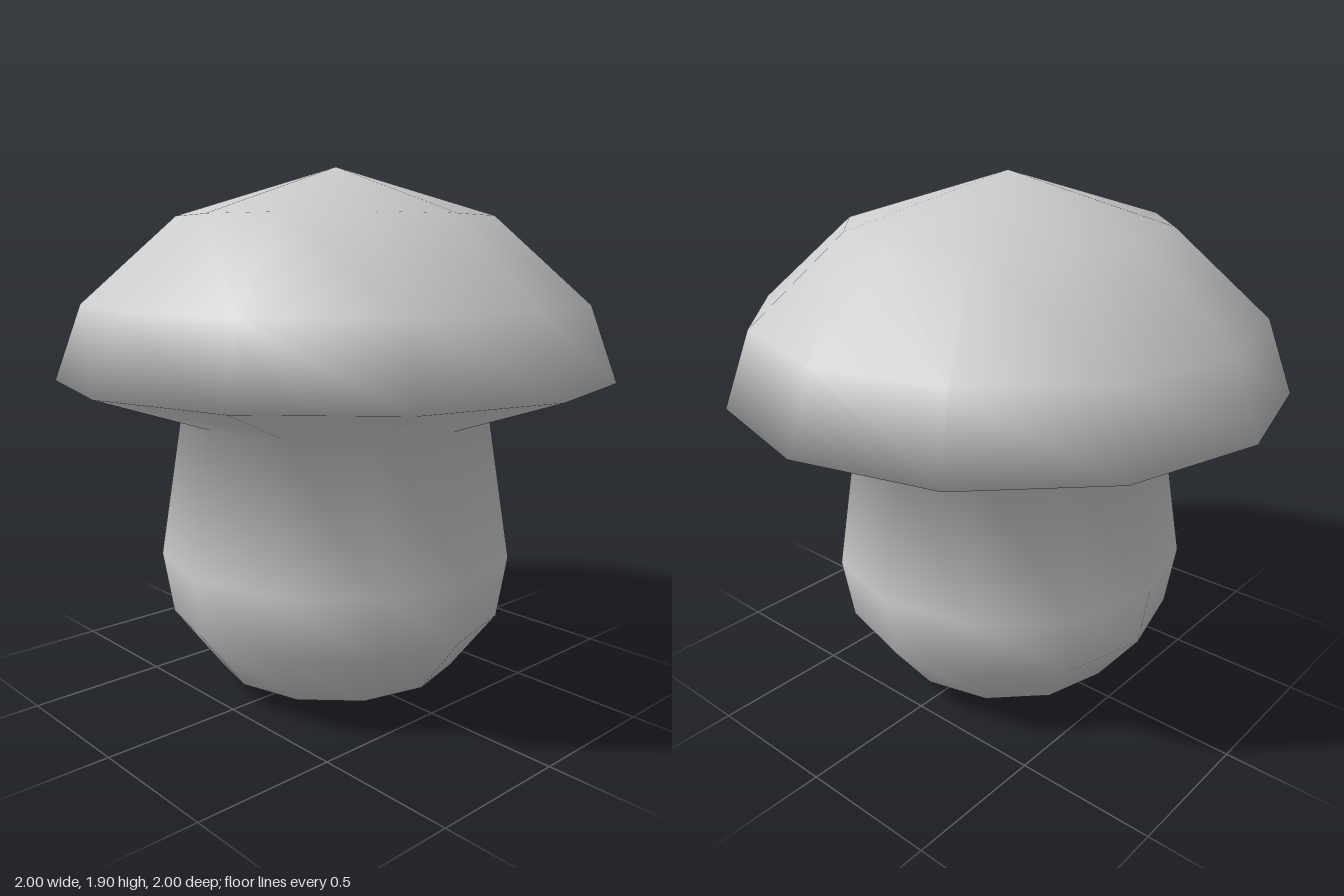
import * as THREE from 'three';
import { mergeVertices } from 'three/addons/utils/BufferGeometryUtils.js';

// Smooth twelve-sided solid of revolution, welded at the seam and poles
function smoothLathe(profile, sides) {
  const lathe = new THREE.LatheGeometry(profile.map(([r, y]) => new THREE.Vector2(r, y)), sides);
  lathe.deleteAttribute('uv');
  lathe.deleteAttribute('normal');
  const geometry = mergeVertices(lathe, 1e-4);
  geometry.computeVertexNormals();
  return geometry;
}

export function createModel() {
  const group = new THREE.Group();
  group.name = 'mushroom';

  // Radius and height, from the foot to the crown
  const stem = [[0, 0], [0.45, 0.08], [0.615, 0.295], [0.652, 0.52], [0.572, 1.022]];
  const cap = [[1, 1.168], [0.905, 1.43], [0.57, 1.73], [0, 1.905]];

  // Stem and cap are one continuous skin so the shading flows between them
  const body = new THREE.Mesh(
    smoothLathe([...stem, ...cap], 12),
    new THREE.MeshStandardMaterial({ color: 0xcccccc })
  );
  body.name = 'stemAndCap';
  group.add(body);
  return group;
}
